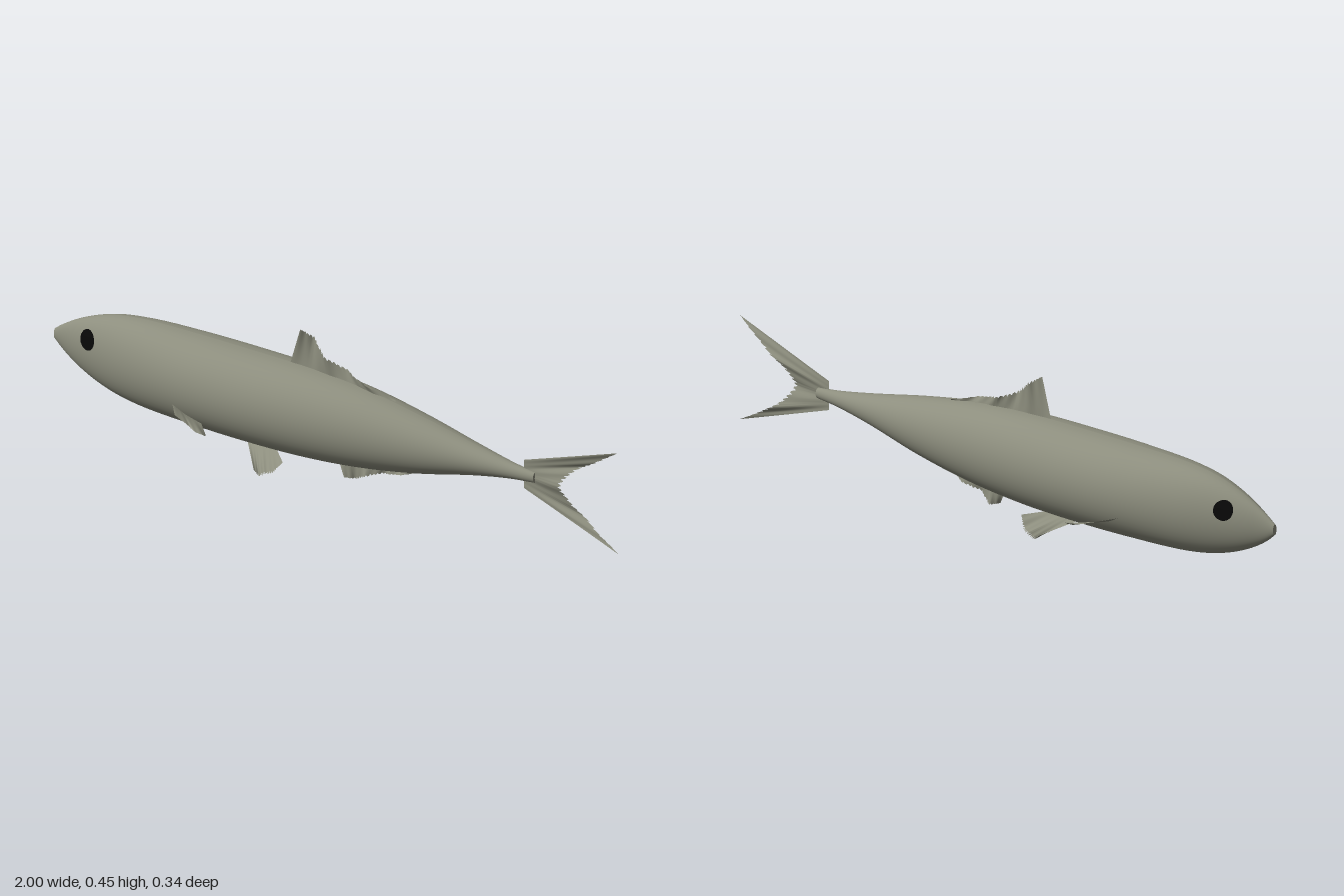
import * as THREE from 'three';

const skin = new THREE.MeshStandardMaterial({ color: 0x8d8e7e });
skin.name = 'skin';
const finSkin = new THREE.MeshStandardMaterial({ color: 0x8d8e7e, side: THREE.DoubleSide });
finSkin.name = 'fin skin';
const black = new THREE.MeshStandardMaterial({ color: 0x080808, side: THREE.DoubleSide });
black.name = 'eye black';

// Body stations along x, each with top, bottom and half width
const stations = [-1, -0.97, -0.9, -0.8, -0.7, -0.5, -0.3, -0.1, 0.1, 0.3, 0.5, 0.62, 0.7];
const sizes = [
  0.211, 0.178, 0.008, 0.233, 0.152, 0.016, 0.272, 0.111, 0.04, 0.308, 0.075, 0.068,
  0.324, 0.058, 0.09, 0.331, 0.051, 0.116, 0.332, 0.05, 0.1235, 0.33, 0.055, 0.118,
  0.316, 0.073, 0.102, 0.285, 0.107, 0.076, 0.245, 0.154, 0.042, 0.224, 0.175, 0.022,
  0.215, 0.183, 0.012,
];
const profile = new THREE.CubicInterpolant(stations, sizes, 3, new Float32Array(3));

function section(x) {
  const [top, bottom, width] = profile.evaluate(x);
  return { y: (top + bottom) / 2, h: (top - bottom) / 2, w: width };
}

function gridGeometry(cols, rows, pointAt) {
  const pos = [], index = [];
  for (let i = 0; i <= cols; i++) {
    for (let j = 0; j <= rows; j++) {
      pos.push(...pointAt(i / cols, j / rows));
      if (i === cols || j === rows) continue;
      const a = i * (rows + 1) + j, b = a + rows + 1;
      index.push(a, a + 1, b, b, a + 1, b + 1);
    }
  }
  const g = new THREE.BufferGeometry();
  g.setAttribute('position', new THREE.Float32BufferAttribute(pos, 3));
  g.setIndex(index);
  g.computeVertexNormals();
  return g;
}

function add(group, name, geometry, material) {
  const mesh = new THREE.Mesh(geometry, material);
  mesh.name = name;
  group.add(mesh);
}

// Ruffled fin spanned between a base line and a ragged outer edge
function finGeometry(base, edge, ruffle, waves, ragged = 0.05) {
  const line = (pts) => new THREE.CatmullRomCurve3(
    pts.map((p) => new THREE.Vector3(p[0], p[1], p[2] || 0)), false, 'centripetal');
  const a = line(base), b = line(edge);
  const push = new THREE.Vector3(...ruffle);
  return gridGeometry(72, 6, (u, v) => {
    const notch = 1 - ragged * (0.5 + 0.5 * Math.sin(u * 150)) * Math.sin(Math.PI * u);
    const p = a.getPoint(u).lerp(b.getPoint(u), v * notch);
    const wave = Math.cos(u * waves * Math.PI) + 0.25 * Math.sin(u * waves * 9 + v * 2);
    return p.addScaledVector(push, v * wave * 0.8).toArray();
  });
}

function capGeometry(x, facing) {
  const s = section(x);
  const g = new THREE.CircleGeometry(1, 32);
  g.rotateY(facing * Math.PI / 2);
  g.scale(1, s.h, s.w);
  g.translate(x, s.y, 0);
  return g;
}

export function createModel() {
  const fish = new THREE.Group();
  fish.name = 'fish';

  // Body
  add(fish, 'body', gridGeometry(80, 48, (u, v) => {
    const x = -1 + 1.7 * u, s = section(x), t = v * Math.PI * 2;
    return [x, s.y + s.h * Math.cos(t), s.w * Math.sin(t)];
  }), skin);
  add(fish, 'noseTip', capGeometry(-1, -1), skin);
  add(fish, 'tailStump', capGeometry(0.7, 1), skin);

  // Eyes, laid onto the sides of the head
  for (const side of [1, -1]) {
    const g = new THREE.RingGeometry(0.0001, 0.03, 24, 4);
    const p = g.attributes.position;
    for (let i = 0; i < p.count; i++) {
      const x = p.getX(i) - 0.85, y = p.getY(i) + 0.233, s = section(x);
      const z = s.w * Math.sqrt(Math.max(0, 1 - ((y - s.y) / s.h) ** 2)) + 0.003;
      p.setXYZ(i, x, y, side * z);
    }
    g.computeVertexNormals();
    add(fish, side > 0 ? 'leftEye' : 'rightEye', g, black);
  }

  // Fins on the centre line
  add(fish, 'dorsalFin', finGeometry(
    [[-0.17, 0.32], [0, 0.315], [0.2, 0.29]],
    [[-0.125, 0.45], [-0.09, 0.43], [-0.04, 0.388], [0.02, 0.36], [0.1, 0.335], [0.2, 0.305]],
    [0, 0, 0.011], 5, 0.14), finSkin);
  add(fish, 'analFin', finGeometry(
    [[0, 0.075], [0.12, 0.09], [0.32, 0.12]],
    [[0.03, 0.02], [0.055, 0.014], [0.1, 0.038], [0.15, 0.056], [0.22, 0.078], [0.32, 0.108]],
    [0, 0, 0.011], 5, 0.14), finSkin);
  add(fish, 'tailFin', finGeometry(
    [[0.66, 0.245], [0.66, 0.2], [0.66, 0.155]],
    [[1, 0.363], [0.91, 0.3], [0.835, 0.25], [0.8, 0.2], [0.835, 0.145], [0.91, 0.092], [1, 0.04]],
    [0, 0, 0.01], 4, 0.12), finSkin);

  // Paired fins
  for (const side of [1, -1]) {
    const flip = (pts) => pts.map(([x, y, z]) => [x, y, z * side]);
    const name = side > 0 ? 'left' : 'right';
    add(fish, name + 'PectoralFin', finGeometry(
      flip([[-0.52, 0.145, 0.095], [-0.47, 0.121, 0.1], [-0.42, 0.102, 0.09]]),
      flip([[-0.47, 0.132, 0.148], [-0.42, 0.12, 0.157], [-0.38, 0.112, 0.171],
        [-0.355, 0.104, 0.164], [-0.365, 0.1, 0.146]]),
      [0, 0.004, 0.003 * side], 3), finSkin);
    add(fish, name + 'PelvicFin', finGeometry(
      flip([[-0.3, 0.062, 0.03], [-0.25, 0.064, 0.035], [-0.19, 0.066, 0.04]]),
      flip([[-0.215, 0.012, 0.113], [-0.19, 0.005, 0.12], [-0.16, 0.02, 0.118], [-0.13, 0.05, 0.088]]),
      [0, 0.005, 0.003 * side], 4, 0.1), finSkin);
  }
  return fish;
}
